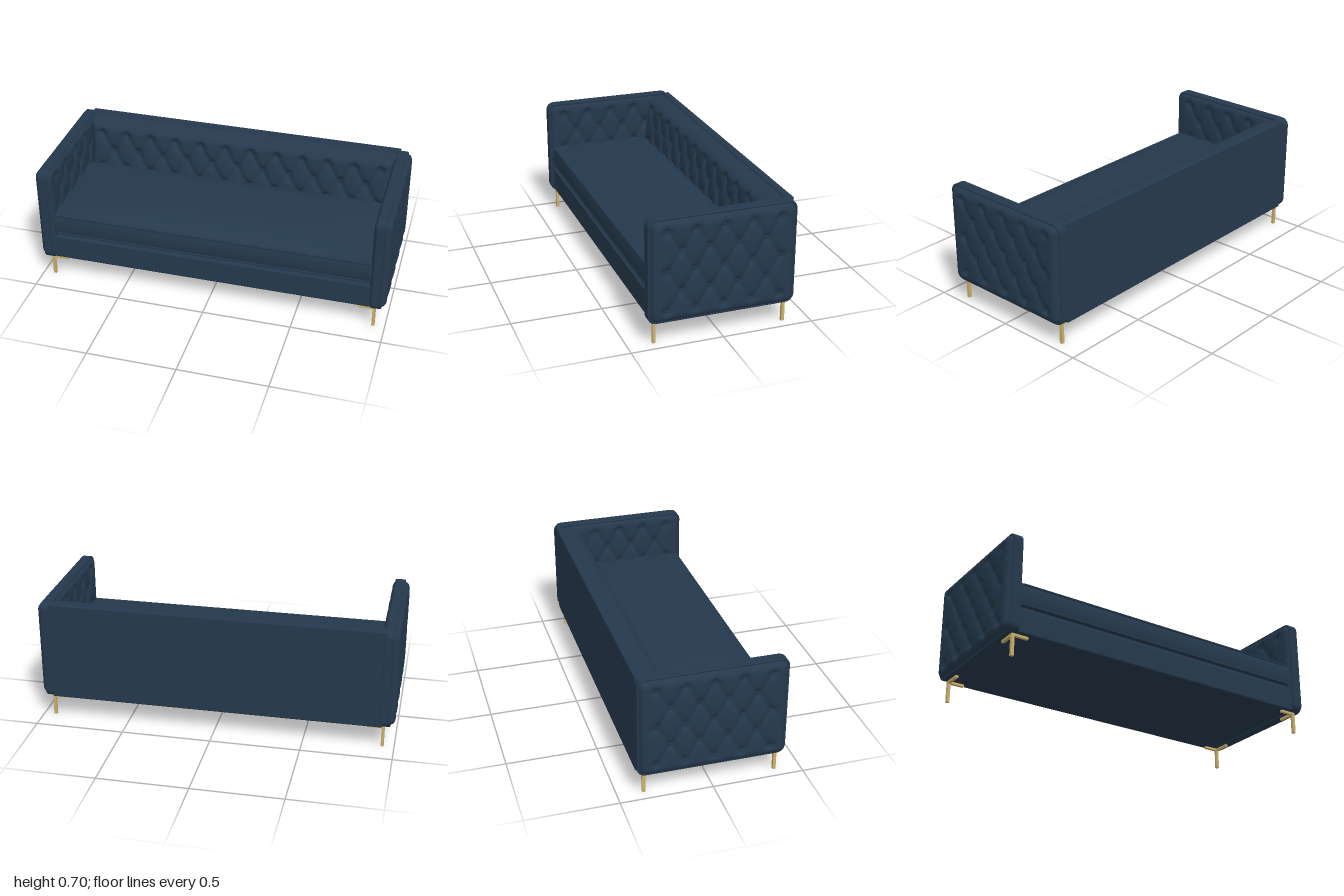
import * as THREE from 'three';
import { RoundedBoxGeometry } from 'three/addons/geometries/RoundedBoxGeometry.js';

const fabric = new THREE.MeshStandardMaterial({ name: 'navy fabric', color: 0x25394d });
const brass = new THREE.MeshStandardMaterial({ name: 'brass', color: 0xcbb06c });

function add(parent, name, geometry, material, x = 0, y = 0, z = 0) {
  const mesh = new THREE.Mesh(geometry, material);
  mesh.name = name;
  mesh.position.set(x, y, z);
  parent.add(mesh);
  return mesh;
}

function roundedRect(w, h, r) {
  const s = new THREE.Shape();
  s.absarc(w - r, h - r, r, 0, Math.PI / 2);
  s.absarc(r - w, h - r, r, Math.PI / 2, Math.PI);
  s.absarc(r - w, r - h, r, Math.PI, Math.PI * 1.5);
  s.absarc(w - r, r - h, r, Math.PI * 1.5, Math.PI * 2);
  s.closePath();
  return s;
}

// Closed piping cord following a rounded rectangle in the XY plane
function piping(w, h, r, thickness) {
  const path = new THREE.CurvePath();
  const pts = roundedRect(w, h, r).getPoints(8).map(p => new THREE.Vector3(p.x, p.y, 0));
  pts.forEach((p, i) => {
    const next = pts[(i + 1) % pts.length];
    if (p.distanceTo(next) > 1e-5) path.add(new THREE.LineCurve3(p, next));
  });
  return new THREE.TubeGeometry(path, 300, thickness, 8, true);
}

// Diamond-tufted pad facing +z, with a button at each crossing of the creases
function tuftedPad(name, o) {
  const group = new THREE.Group();
  group.name = name;
  const buttons = [];
  for (let row = 0; row < o.rows; row++) {
    const count = o.columns - (row % 2);
    for (let i = 0; i < count; i++) buttons.push([(i - (count - 1) / 2) * o.du, o.top - row * o.dv]);
  }
  const uMax = (o.columns - 1) / 2 * o.du;
  const vMin = o.top - (o.rows - 1) * o.dv;
  const crease = t => Math.abs(t - Math.round(t)) * 2;
  const height = (u, v) => {
    const uc = THREE.MathUtils.clamp(u, -uMax, uMax);
    const vc = THREE.MathUtils.clamp(v, vMin, o.top);
    const a = (uc + uMax) / o.du, b = (vc - o.top) / (2 * o.dv);
    const outside = Math.hypot(u - uc, v - vc) / 0.07;
    const c = Math.min(1, Math.min(crease(a + b), crease(a - b)) + outside);
    let near = 1;
    for (const [bu, bv] of buttons) near = Math.min(near, Math.hypot(u - bu, v - bv));
    const d = Math.max(0, Math.min(o.w - Math.abs(u), o.h - Math.abs(v)));
    const e = 1 - Math.min(d / o.edge, 1);
    const dip = 0.4 * (1 - c) ** 3 + 0.5 * Math.exp(-((near / 0.026) ** 2));
    return o.bulge * Math.sqrt(1 - e * e) - o.tuft * dip * (1 - e) + o.slope * (o.h - v);
  };
  const geo = new THREE.PlaneGeometry(o.w * 2, o.h * 2, o.nu, o.nv);
  const pos = geo.attributes.position;
  for (let i = 0; i < pos.count; i++) {
    let u = pos.getX(i), v = pos.getY(i);
    const z = height(u, v);
    // Pull the square corners in to a rounded outline
    const a = Math.abs(u) - o.w + o.r, b = Math.abs(v) - o.h + o.r;
    if (a > 0 && b > 0) {
      const k = Math.max(a, b) / Math.hypot(a, b);
      u = Math.sign(u) * (o.w - o.r + a * k);
      v = Math.sign(v) * (o.h - o.r + b * k);
    }
    pos.setXYZ(i, u, v, z);
  }
  geo.computeVertexNormals();
  add(group, 'tuftedSurface', geo, fabric);
  const buttonGeo = new THREE.SphereGeometry(0.009, 12, 8).scale(1, 1, 0.6);
  for (const [u, v] of buttons) add(group, 'button', buttonGeo, fabric, u, v, height(u, v) + 0.002);
  return group;
}

function makeArm(name) {
  const arm = new THREE.Group();
  arm.name = name;
  const core = new THREE.ExtrudeGeometry(roundedRect(0.4, 0.285, 0.04), { depth: 0.048, bevelEnabled: false, curveSegments: 8 });
  add(arm, 'armFrame', core, fabric, 0.92, 0.41, 0).rotation.y = Math.PI / 2;
  for (const x of [0.921, 0.967]) {
    add(arm, 'armPiping', piping(0.395, 0.28, 0.04, 0.007), fabric, x, 0.41, 0).rotation.y = Math.PI / 2;
  }
  const spec = { w: 0.392, h: 0.277, r: 0.04, rows: 5, columns: 5, top: 0.22, du: 0.153, dv: 0.11,
    edge: 0.05, tuft: 0.024, slope: 0, nu: 88, nv: 64 };
  const outer = tuftedPad('outerArmPad', { ...spec, bulge: 0.033 });
  outer.position.set(0.967, 0.41, 0);
  outer.rotation.y = Math.PI / 2;
  const inner = tuftedPad('innerArmPad', { ...spec, bulge: 0.022 });
  inner.position.set(0.921, 0.41, 0);
  inner.rotation.y = -Math.PI / 2;
  arm.add(outer, inner);
  return arm;
}

export function createModel() {
  const sofa = new THREE.Group();
  sofa.name = 'sofa';

  // Arms
  const leftArm = makeArm('leftArm');
  const rightArm = makeArm('rightArm');
  rightArm.rotation.y = Math.PI;
  sofa.add(leftArm, rightArm);

  // Back panel, its top cord and the tufted inner pad
  add(sofa, 'backPanel', new RoundedBoxGeometry(1.86, 0.565, 0.045, 3, 0.008), fabric, 0, 0.4125, -0.3775);
  const cord = new THREE.CylinderGeometry(0.006, 0.006, 1.84, 8).rotateZ(Math.PI / 2);
  add(sofa, 'backPiping', cord, fabric, 0, 0.69, -0.358);
  const back = tuftedPad('backPad', { w: 0.92, h: 0.22, r: 0.01, rows: 4, columns: 12, top: 0.145, du: 0.152, dv: 0.105,
    edge: 0.06, bulge: 0.105, tuft: 0.034, slope: 0.15, nu: 240, nv: 60 });
  back.position.set(0, 0.47, -0.36);
  sofa.add(back);

  // Base rail and the recessed gap under the cushion
  add(sofa, 'base', new RoundedBoxGeometry(1.84, 0.143, 0.755, 3, 0.01), fabric, 0, 0.2015, 0.0025);
  add(sofa, 'cushionGap', new THREE.BoxGeometry(1.82, 0.04, 0.7), fabric, 0, 0.28, 0.0);

  // Crowned seat cushion
  const hw = 0.908, hd = 0.31;
  const seat = new THREE.BoxGeometry(hw * 2, 0.12, hd * 2, 48, 8, 24);
  const p = seat.attributes.position;
  for (let i = 0; i < p.count; i++) {
    const x = p.getX(i), y = p.getY(i), z = p.getZ(i);
    const crown = (1 - Math.abs(x / hw) ** 3) * (1 - (z / hd) ** 4);
    if (y > 0.059) p.setY(i, y + 0.05 * crown);
    if (z > hd - 0.001) p.setZ(i, z + 0.008 * (1 - (y / 0.06) ** 2));
  }
  seat.computeVertexNormals();
  add(sofa, 'seatCushion', seat, fabric, 0, 0.355, 0.065);
  for (const y of [0.297, 0.413]) {
    add(sofa, 'cushionPiping', piping(hw - 0.002, hd, 0.02, 0.007), fabric, 0, y, 0.065).rotation.x = Math.PI / 2;
  }

  // Corner legs, each a post with two brackets under the frame
  for (const sx of [1, -1]) for (const sz of [1, -1]) {
    const leg = new THREE.Group();
    leg.name = (sz > 0 ? 'front' : 'back') + (sx > 0 ? 'Left' : 'Right') + 'Leg';
    add(leg, 'post', new THREE.BoxGeometry(0.017, 0.125, 0.017), brass, 0, 0.0625, 0);
    add(leg, 'sideBracket', new THREE.BoxGeometry(0.08, 0.014, 0.017), brass, -sx * 0.0485, 0.118, 0);
    add(leg, 'depthBracket', new THREE.BoxGeometry(0.017, 0.014, 0.093), brass, 0, 0.118, -sz * 0.055);
    leg.position.set(sx * 0.935, 0, sz * 0.359);
    sofa.add(leg);
  }
  return sofa;
}
